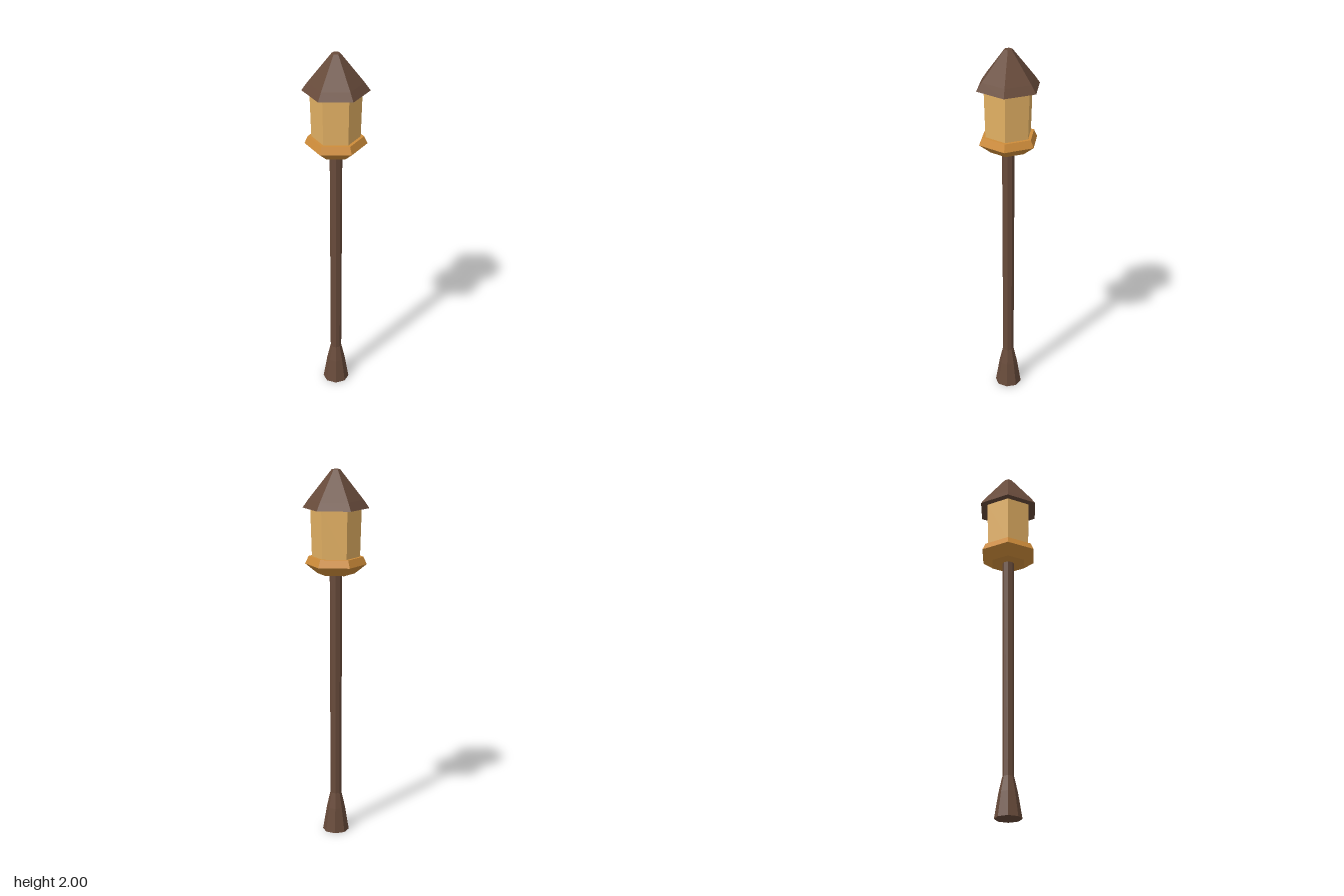
import * as THREE from 'three';

const material = (name, color) => {
  const m = new THREE.MeshStandardMaterial({ color, flatShading: true });
  m.name = name;
  return m;
};

// Faceted solid of revolution through [radius, y] points, with one corner on +x
function faceted(name, profile, sides, mat) {
  const points = profile.map(([r, y]) => new THREE.Vector2(r, y));
  const geometry = new THREE.LatheGeometry(points, sides, Math.PI / 2).toNonIndexed();
  geometry.computeVertexNormals();
  const mesh = new THREE.Mesh(geometry, mat);
  mesh.name = name;
  return mesh;
}

export function createModel() {
  const wood = material('dark brown', 0x684b3b);
  const glass = material('warm amber', 0xe3b164);
  const brass = material('brass orange', 0xce8c3a);

  const lamp = new THREE.Group();
  lamp.name = 'lampPost';
  lamp.add(
    // Octagonal flared foot and slim post
    faceted('foot', [[0, 0], [0.072, 0], [0.05, 0.135], [0.031, 0.22], [0, 0.22]], 8, wood),
    faceted('post', [[0, 0.2], [0.03, 0.2], [0.033, 1.47], [0, 1.47]], 8, wood),
    // Hexagonal lantern: bevelled tray, glazed body, bell-shaped roof
    faceted('lanternTray', [[0, 1.455], [0.1, 1.455], [0.163, 1.505], [0.145, 1.545], [0, 1.545]], 6, brass),
    faceted('lanternGlass', [[0, 1.54], [0.127, 1.54], [0.135, 1.81], [0, 1.81]], 6, glass),
    faceted('roof', [[0, 1.8], [0.175, 1.8], [0.145, 1.843], [0.022, 2], [0, 2]], 6, wood),
  );
  return lamp;
}
